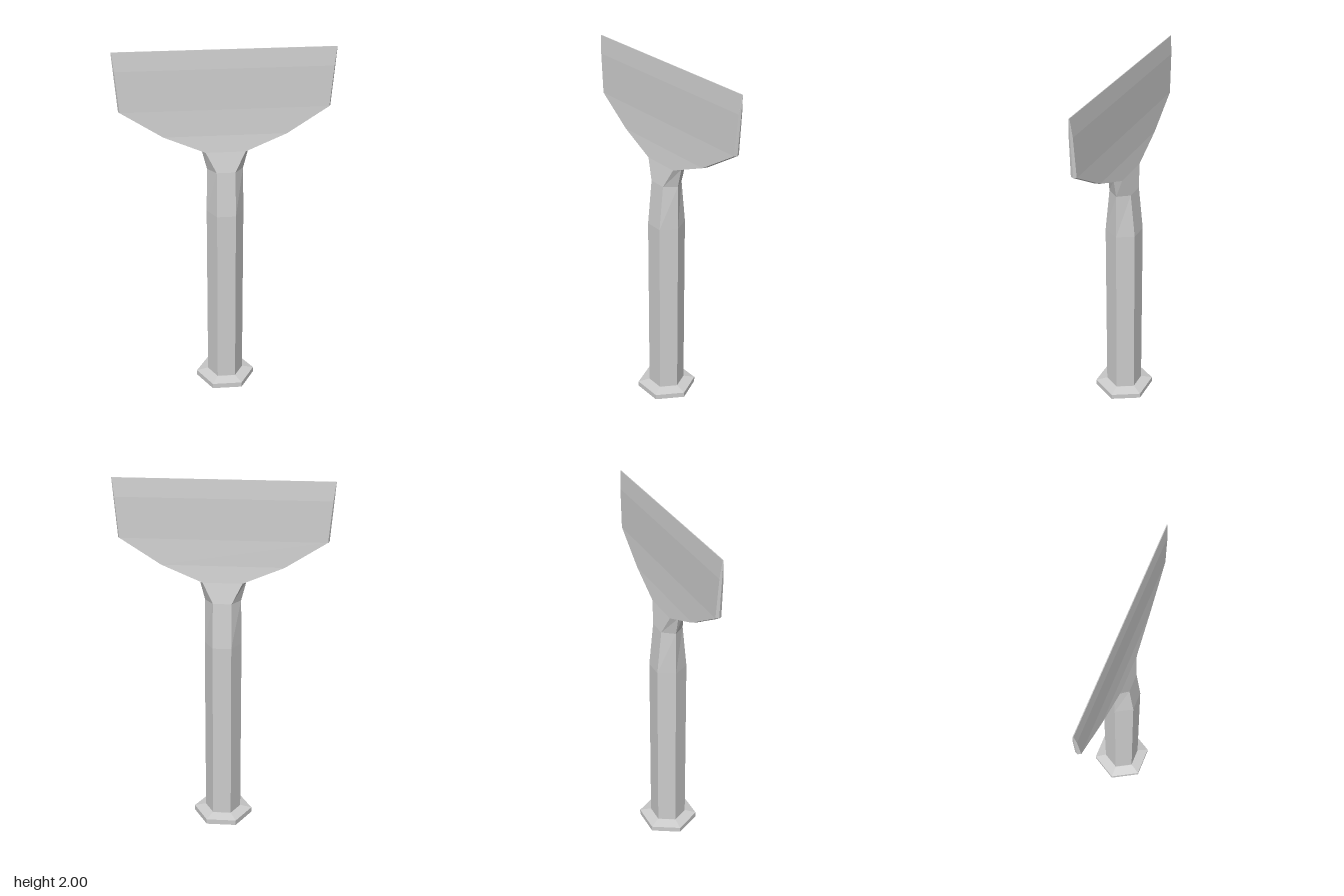
import * as THREE from 'three';

const material = new THREE.MeshStandardMaterial({ color: 0xcccccc, flatShading: true });

// Six-sided loft; each section is [y, half width at corner, half width of flat, half depth]
function loft(name, sections) {
  const positions = [];
  const index = [];
  for (const [y, corner, flat, depth] of sections) {
    positions.push(
      corner, y, 0, flat, y, depth, -flat, y, depth,
      -corner, y, 0, -flat, y, -depth, flat, y, -depth
    );
  }
  const last = (sections.length - 1) * 6;
  for (let s = 0; s < last; s += 6) {
    for (let i = 0; i < 6; i++) {
      const a = s + i;
      const b = s + (i + 1) % 6;
      index.push(a, a + 6, b, b, a + 6, b + 6);
    }
  }
  // End faces
  for (let i = 1; i < 5; i++) {
    index.push(0, i, i + 1, last, last + i + 1, last + i);
  }
  const indexed = new THREE.BufferGeometry();
  indexed.setAttribute('position', new THREE.Float32BufferAttribute(positions, 3));
  indexed.setIndex(index);
  const geometry = indexed.toNonIndexed();
  geometry.computeVertexNormals();
  const mesh = new THREE.Mesh(geometry, material);
  mesh.name = name;
  return mesh;
}

export function createModel() {
  const chisel = new THREE.Group();
  chisel.name = 'chisel';

  // Hexagonal striking cap with a bevelled shoulder
  chisel.add(loft('strikingCap', [
    [0, 0.167, 0.084, 0.145],
    [0.03, 0.167, 0.084, 0.145],
    [0.045, 0.103, 0.052, 0.09]
  ]));

  // Hexagonal shaft, thinning at the neck and flaring into the broad blade
  chisel.add(loft('shaftAndBlade', [
    [0.04, 0.101, 0.051, 0.088],
    [1.09, 0.101, 0.051, 0.088],
    [1.34, 0.097, 0.05, 0.063],
    [1.45, 0.125, 0.106, 0.04],
    [1.54, 0.335, 0.326, 0.027],
    [1.68, 0.555, 0.547, 0.016],
    [1.9, 0.571, 0.565, 0.011],
    [2, 0.578, 0.575, 0.002]
  ]));

  return chisel;
}
